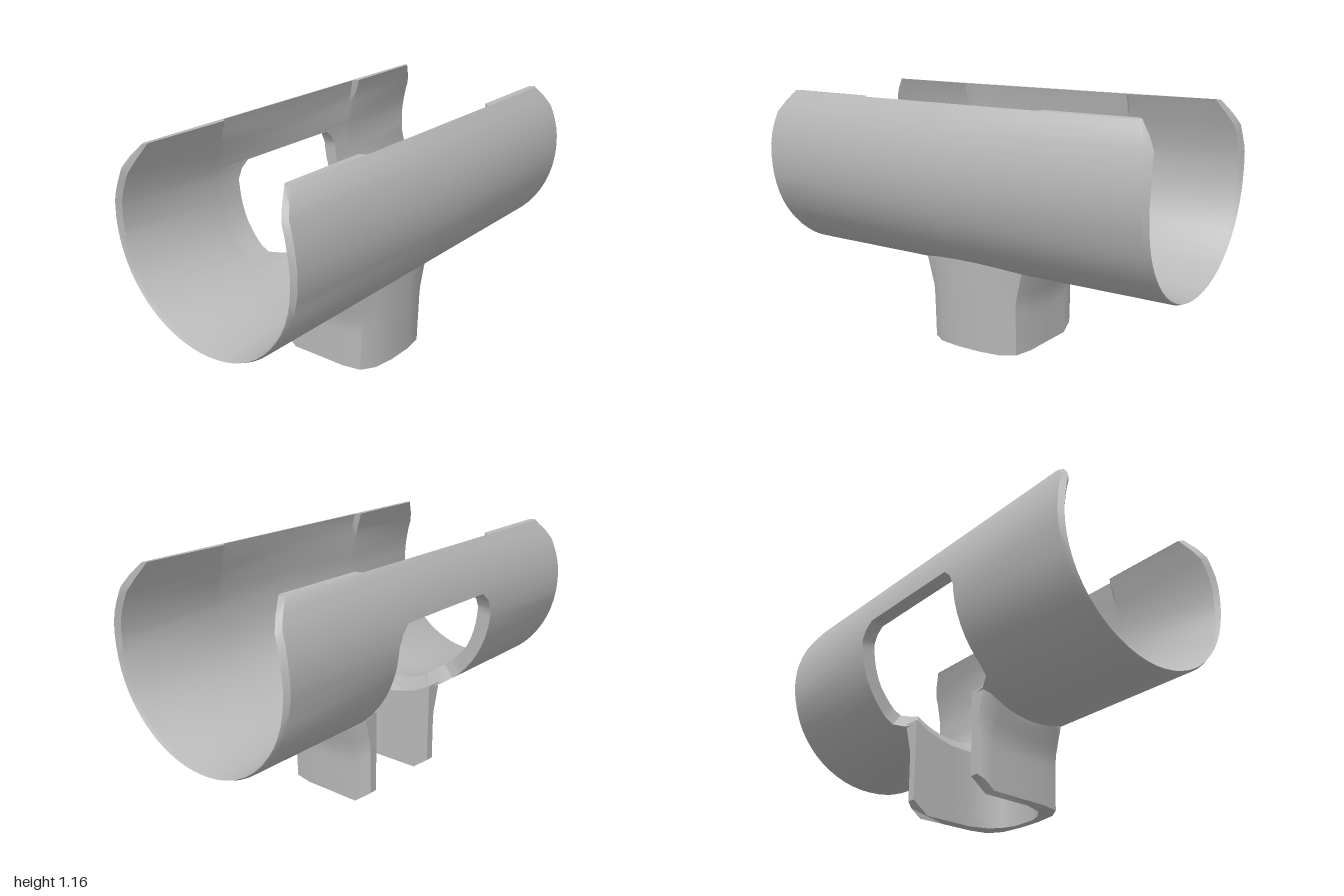
import * as THREE from 'three';
import { toCreasedNormals } from 'three/addons/utils/BufferGeometryUtils.js';

const CENTRE_Y = 0.857, OUTER_R = 0.5, RAD = Math.PI / 180;

// Piecewise linear lookup through [key, value] pairs
function lerpTable(table, a) {
  if (a <= table[0][0]) return table[0][1];
  for (let i = 1; i < table.length; i++) {
    const [a0, v0] = table[i - 1], [a1, v1] = table[i];
    if (a <= a1) return v0 + (v1 - v0) * (a - a0) / (a1 - a0);
  }
  return table[table.length - 1][1];
}

// Angles in degrees from the bottom; positive towards +x
const TIP = 127;
const endZ = [[0, 0.99], [100, 1], [116, 0.985], [TIP, 0.91]];

// Inner radius by angle: at the opening, inside and outside the lip step, at the end.
// The wall thins towards the ends; the lips are thicker beyond the step.
const inner = [
  [0, 0.425, 0.445, 0.445, 0.485],
  [35, 0.425, 0.445, 0.445, 0.485],
  [60, 0.435, 0.445, 0.445, 0.48],
  [85, 0.43, 0.435, 0.435, 0.465],
  [105, 0.44, 0.44, 0.435, 0.46],
  [118, 0.465, 0.465, 0.45, 0.46],
  [TIP, 0.497, 0.497, 0.477, 0.48],
];
const innerTables = [1, 2, 3, 4].map(k => inner.map(row => [row[0], row[k]]));

// Half width of the opening: side window running into the neck bore
const openingZ = [[-98.3, 0], [-98.2, 0.28], [-94, 0.32], [-88, 0.345], [-44, 0.35], [-38, 0.34],
  [-33.5, 0.28], [-32, 0.2], [6, 0.2], [15, 0.185], [25, 0.14], [31, 0.08], [31.2, 0]];

function halfShell(side) {
  const angles = openingZ.map(p => p[0]);
  for (let a = -126; a <= 126; a += 6) angles.push(a);
  angles.push(-TIP, TIP);
  angles.sort((p, q) => p - q);

  const halfOpen = angles.map(a => lerpTable(openingZ, a));
  const rings = angles.map((a, i) => {
    const m = Math.abs(a), e = lerpTable(endZ, m), h = halfOpen[i];
    const [r0, r1, r2, r3] = innerTables.map(t => lerpTable(t, m));
    // lips lean inwards to a level top
    const lean = Math.sign(a) * Math.max(0, m - 115) * 0.19;
    // the floor slopes down into the bore
    const hIn = a > -33 ? h * 1.25 : h;
    const section = [[OUTER_R, e - 0.02, 0], [OUTER_R, h, 0], [r0, hIn, 0], [r1, 0.45, 0],
      [r2, 0.47, lean], [r3, e - 0.02, lean], [(OUTER_R + r3) / 2, e, lean / 2]];
    return section.map(([r, z, da]) =>
      [r * Math.sin((a + da) * RAD), CENTRE_Y - r * Math.cos((a + da) * RAD), z * side]);
  });

  const pos = [], count = rings[0].length;
  const tri = (a, b, c) => pos.push(...a, ...(side > 0 ? b : c), ...(side > 0 ? c : b));
  for (let j = 0; j < rings.length - 1; j++) {
    const p = rings[j], q = rings[j + 1];
    for (let k = 0; k < count; k++) {
      if (k === 1 && halfOpen[j] + halfOpen[j + 1] === 0) continue; // halves join here
      const n = (k + 1) % count;
      tri(p[k], p[n], q[k]);
      tri(p[n], q[n], q[k]);
    }
  }
  // Close the lips
  const first = rings[0], last = rings[rings.length - 1];
  for (let k = 1; k < count - 1; k++) {
    tri(last[0], last[k], last[k + 1]);
    tri(first[0], first[k + 1], first[k]);
  }
  const g = new THREE.BufferGeometry();
  g.setAttribute('position', new THREE.Float32BufferAttribute(pos, 3));
  return toCreasedNormals(g, 35 * RAD);
}

// U-shaped neck, open towards -x, its top following the shell
function neckGeometry() {
  const wall = [[-0.27, 0.2], [-0.27, 0.24], [-0.24, 0.255], [-0.19, 0.255], [-0.06, 0.252],
    [0.1, 0.25], [0.205, 0.23], [0.248, 0.165], [0.263, 0.06]];
  const bore = [[0.225, 0.06], [0.2, 0.12], [0.14, 0.17], [0.05, 0.2], [-0.06, 0.2], [-0.19, 0.2]];
  const mirror = pts => pts.slice().reverse().map(([x, z]) => [x, -z]);
  const outline = [...wall, ...mirror(wall), ...mirror(bore), ...bore];
  const shape = new THREE.Shape(outline.map(([x, z]) => new THREE.Vector2(x, z)));
  const g = new THREE.ExtrudeGeometry(shape, { depth: 1, steps: 8, bevelEnabled: false });
  g.rotateX(-Math.PI / 2);
  const p = g.attributes.position;
  for (let i = 0; i < p.count; i++) {
    const x = p.getX(i), z = p.getZ(i), t = p.getY(i);
    const top = CENTRE_Y - Math.sqrt(OUTER_R ** 2 - x * x) + 0.015;
    const foot = 0.004 + Math.max(0, -0.19 - x) * 0.75; // cut toes on the two arms
    const flare = Math.abs(z) > 0.21 ? 1 + 0.17 * Math.max(0, (t - 0.6) / 0.4) : 1;
    const taper = x > 0.2 ? 0.015 * (1 - t) : 0;
    p.setXYZ(i, x - taper, foot + (top - foot) * t, z * flare);
  }
  return toCreasedNormals(g, 35 * RAD);
}

export function createModel() {
  const grey = new THREE.MeshStandardMaterial({ color: 0xb8b8b8, side: THREE.DoubleSide });
  grey.name = 'plain grey';
  const model = new THREE.Group();
  model.name = 'openTubeBracket';
  const add = (name, geometry) => {
    const mesh = new THREE.Mesh(geometry, grey);
    mesh.name = name;
    model.add(mesh);
  };
  add('frontShell', halfShell(1));
  add('backShell', halfShell(-1));
  add('neck', neckGeometry());
  return model;
}
